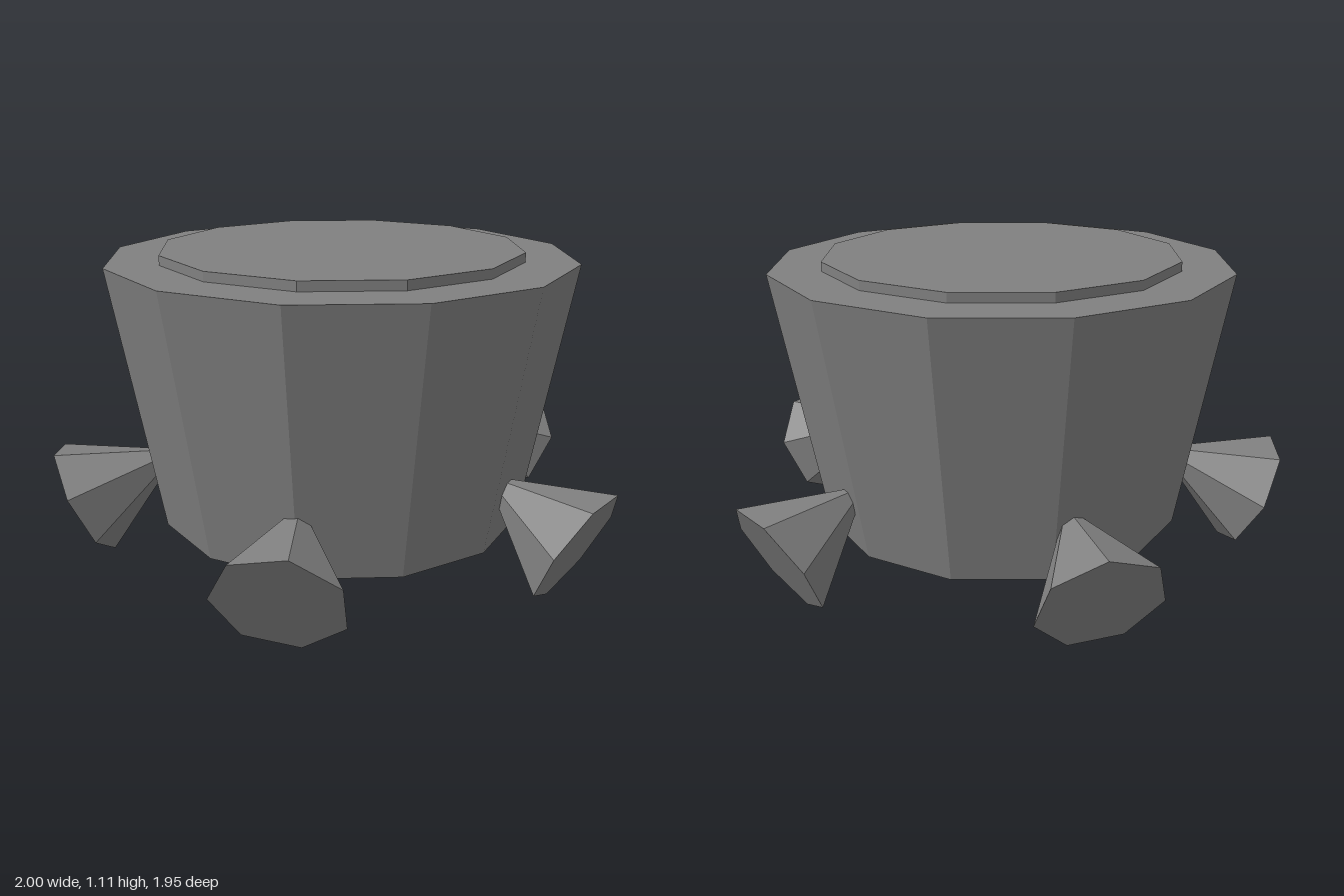
import * as THREE from 'three';

export function createModel() {
  const model = new THREE.Group();
  const grey = new THREE.MeshStandardMaterial({ color: 0x808080, flatShading: true });
  grey.name = 'grey';
  const cx = 0.015, cz = 0.047;

  const add = (name, geometry) => {
    const mesh = new THREE.Mesh(geometry, grey);
    mesh.name = name;
    model.add(mesh);
    return mesh;
  };

  // Twelve-sided tapered body and the thin raised lid on top
  add('body', new THREE.CylinderGeometry(0.82, 0.645, 0.93, 12)).position.set(cx, 0.625, cz);
  add('lid', new THREE.CylinderGeometry(0.635, 0.635, 0.05, 12)).position.set(cx, 1.098, cz);

  // Cone thrusters: base centre x, z; heading and roll in degrees
  const thrusters = [
    ['frontLeftThruster', 0.597, 0.763, 55, 25.7],
    ['frontRightThruster', -0.436, 0.845, 117, 13],
    ['rightThruster', -0.89, -0.18, 193, 18],
    ['backThruster', -0.055, -0.88, 269, -5],
    ['leftThruster', 0.88, -0.325, 335.5, 25.7],
  ];
  const radius = 0.22, length = 0.39, tilt = THREE.MathUtils.degToRad(26.5);
  for (const [name, x, z, heading, roll] of thrusters) {
    const a = THREE.MathUtils.degToRad(heading);
    // Axis from the wide outer end up to the tip hidden inside the body
    const axis = new THREE.Vector3(-Math.cos(a) * Math.cos(tilt), Math.sin(tilt), -Math.sin(a) * Math.cos(tilt));
    const up = new THREE.Vector3(Math.cos(a) * Math.sin(tilt), Math.cos(tilt), Math.sin(a) * Math.sin(tilt));
    const side = new THREE.Vector3().crossVectors(axis, up);
    const cone = new THREE.ConeGeometry(radius, length, 7, 1, false, THREE.MathUtils.degToRad(roll));
    cone.translate(0, length / 2, 0);
    const mesh = add(name, cone);
    mesh.quaternion.setFromRotationMatrix(new THREE.Matrix4().makeBasis(side, axis, up));
    mesh.position.set(x, 0.21, z);
  }
  return model;
}
